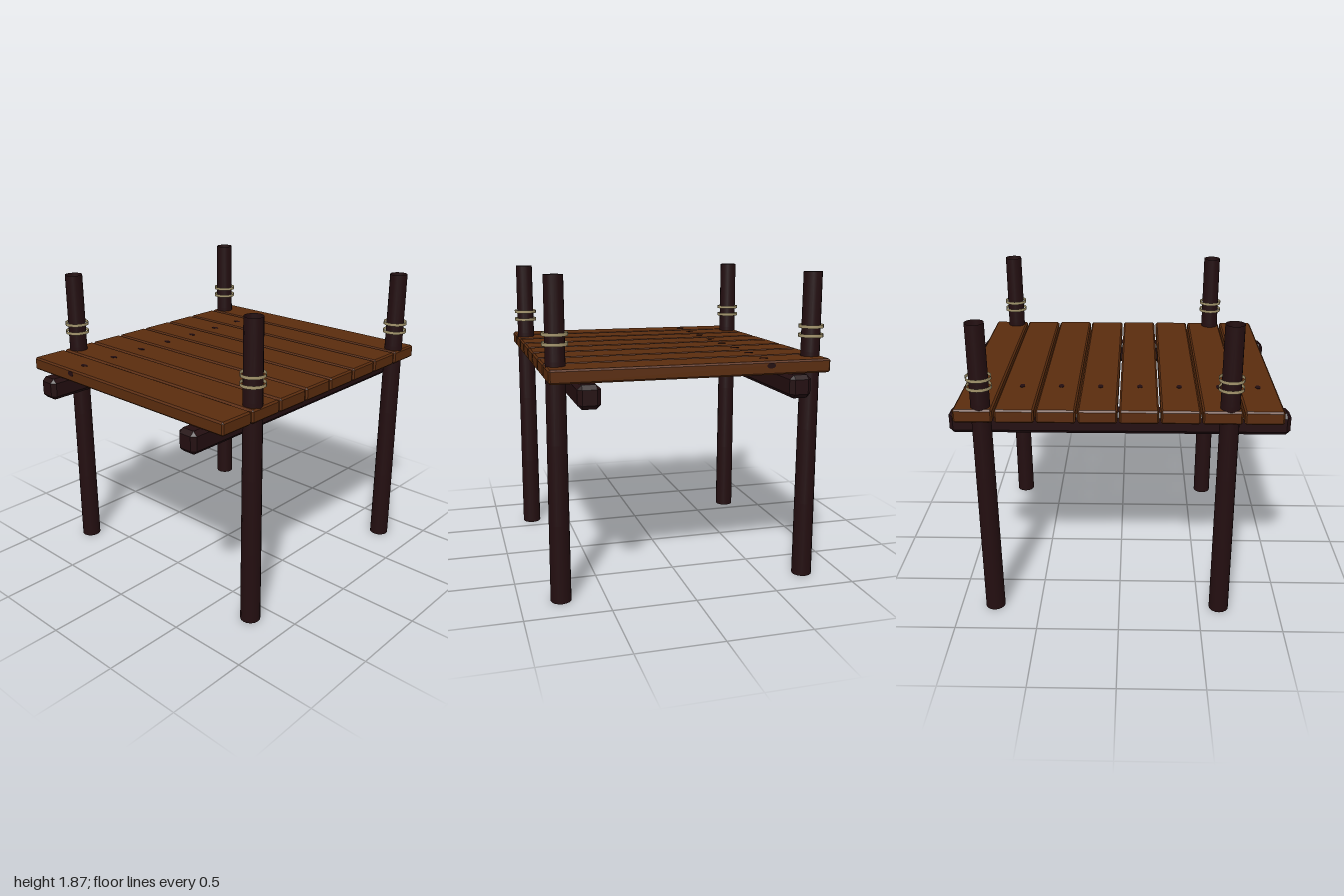
import * as THREE from 'three';
import { ConvexGeometry } from 'three/addons/geometries/ConvexGeometry.js';

const mat = (name, color, side = THREE.FrontSide) => {
  const m = new THREE.MeshStandardMaterial({ color, side });
  m.name = name;
  return m;
};

// Box with every edge cut by a chamfer c
function chamferBox(w, h, d, c) {
  const pts = [];
  for (const x of [-w / 2, w / 2])
    for (const y of [-h / 2, h / 2])
      for (const z of [-d / 2, d / 2]) {
        const [sx, sy, sz] = [x, y, z].map((v) => Math.sign(v) * c);
        pts.push(
          new THREE.Vector3(x, y - sy, z - sz),
          new THREE.Vector3(x - sx, y, z - sz),
          new THREE.Vector3(x - sx, y - sy, z)
        );
      }
  return new ConvexGeometry(pts);
}

export function createModel() {
  const model = new THREE.Group();
  model.name = 'raisedPlatform';
  const plankWood = mat('plankWood', 0x5a2c0e);
  const darkWood = mat('darkWood', 0x230e10, THREE.DoubleSide);
  const rope = mat('rope', 0xa3946c, THREE.DoubleSide);

  const add = (name, geometry, material, x, y, z) => {
    const mesh = new THREE.Mesh(geometry, material);
    mesh.name = name;
    mesh.position.set(x, y, z);
    model.add(mesh);
    return mesh;
  };

  // Deck planks, each with a small dark knot on top
  const plankGeo = chamferBox(1.64, 0.08, 0.225, 0.01);
  const knotGeo = new THREE.CylinderGeometry(0.027, 0.027, 0.004, 10);
  knotGeo.scale(1, 1, 0.6);
  for (let i = 0; i < 8; i++) {
    const z = -0.827 + i * 0.2353;
    add('plank', plankGeo, plankWood, 0, 1.336, z);
    add('plankKnot', knotGeo, darkWood, -0.45, 1.376, z + 0.005);
  }

  // Knots on the outer faces of the first and last plank
  for (const z of [-0.939, 0.932])
    add('edgeKnot', knotGeo, darkWood, -0.45, 1.35, z).rotation.x = Math.PI / 2;

  // Two support beams under the deck
  const beamGeo = chamferBox(0.13, 0.135, 2, 0.025);
  for (const x of [-0.613, 0.61]) add('supportBeam', beamGeo, darkWood, x, 1.229, 0);

  // Four hollow tapering posts with two rope bands each
  const postGeo = new THREE.CylinderGeometry(0.055, 0.061, 1.87, 16, 4, true);
  const bandGeo = new THREE.CylinderGeometry(0.074, 0.074, 0.02, 16, 1, true);
  for (const x of [-0.76, 0.76])
    for (const z of [-0.786, 0.629]) {
      add('post', postGeo, darkWood, x, 0.935, z);
      for (const y of [1.498, 1.552]) add('ropeBand', bandGeo, rope, x, y, z);
    }

  return model;
}
